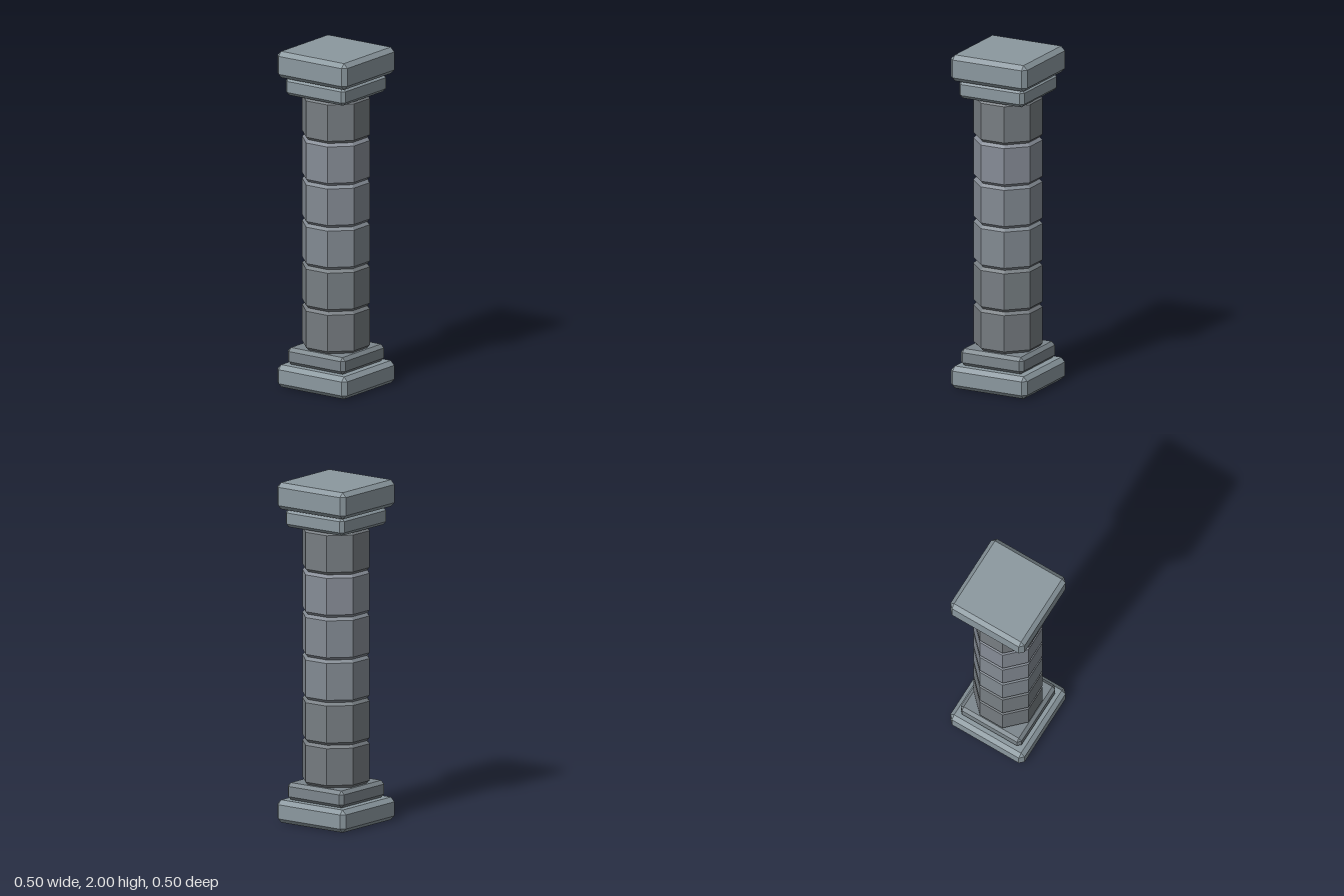
import * as THREE from 'three';
import { ConvexGeometry } from 'three/addons/geometries/ConvexGeometry.js';

const stone = (color) => new THREE.MeshStandardMaterial({ color, flatShading: true });

// Square block with every edge and corner chamfered, spanning y0..y1
function block(name, half, y0, y1, bevel, color) {
  const h = (y1 - y0) / 2;
  const points = [];
  for (const x of [-1, 1]) for (const y of [-1, 1]) for (const z of [-1, 1]) {
    points.push(
      new THREE.Vector3(x * half, y * (h - bevel), z * (half - bevel)),
      new THREE.Vector3(x * (half - bevel), y * h, z * (half - bevel)),
      new THREE.Vector3(x * (half - bevel), y * (h - bevel), z * half)
    );
  }
  const mesh = new THREE.Mesh(new ConvexGeometry(points), stone(color));
  mesh.name = name;
  mesh.position.y = (y0 + y1) / 2;
  return mesh;
}

// Octagonal drum with chamfered rims, a flat side facing the front
function drum(name, apothem, height, bevel, color) {
  const r = apothem / Math.cos(Math.PI / 8);
  const profile = [
    [0, 0], [r - bevel, 0], [r, bevel],
    [r, height - bevel], [r - bevel, height], [0, height],
  ].map(([x, y]) => new THREE.Vector2(x, y));
  const mesh = new THREE.Mesh(new THREE.LatheGeometry(profile, 8, Math.PI / 8), stone(color));
  mesh.name = name;
  return mesh;
}

export function createModel() {
  const column = new THREE.Group();
  column.name = 'column';

  // Stepped base
  column.add(block('baseSlab', 0.25, 0, 0.133, 0.025, 0x8b989f));
  column.add(block('baseStep', 0.205, 0.133, 0.233, 0.02, 0x7c868c));

  // Shaft of six stacked drums, each a slightly different stone
  const shaft = new THREE.Group();
  shaft.name = 'shaft';
  const bottom = 0.233, top = 1.737;
  const colors = [0x757b80, 0x777e83, 0x828a92, 0x838a93, 0x868c96, 0x777d82];
  const height = (top - bottom) / colors.length;
  colors.forEach((color, i) => {
    const d = drum(`shaftDrum${i + 1}`, 0.185, height, 0.017, color);
    d.position.y = bottom + i * height;
    shaft.add(d);
  });
  column.add(shaft);

  // Stepped capital
  column.add(block('capitalStep', 0.213, top, 1.843, 0.02, 0x8b989f));
  column.add(block('capitalSlab', 0.25, 1.843, 2, 0.025, 0x8b989f));

  return column;
}
